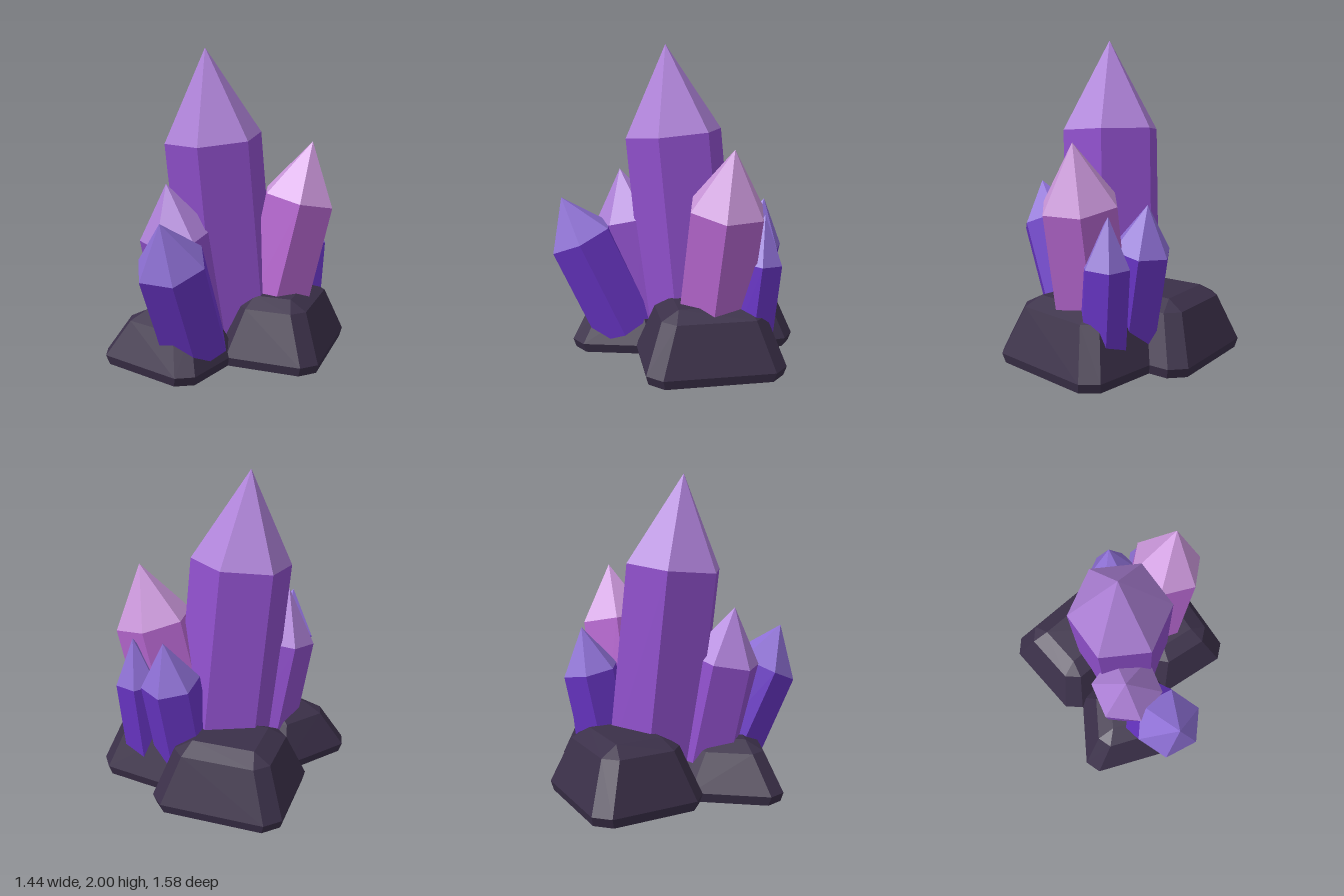
import * as THREE from 'three';
import { ConvexGeometry } from 'three/addons/geometries/ConvexGeometry.js';

const material = (name, color) => {
  const m = new THREE.MeshStandardMaterial({ color });
  m.name = name;
  return m;
};

// Separate the faces so every facet is flat
const faceted = (geometry) => {
  const g = geometry.toNonIndexed();
  g.computeVertexNormals();
  return g;
};

// Hexagonal crystal: centre of its shoulder, lean per unit of height, tip height, radius, spin in degrees
function crystal(name, [x, y, z], [leanX, leanZ], tipY, baseY, radius, spin, bodyMat, tipMat) {
  const axis = new THREE.Vector3(leanX, 1, leanZ);
  const stretch = axis.length();
  axis.normalize();
  const bodyLength = (y - baseY) * stretch;
  const tipLength = (tipY - y) * stretch;
  const start = THREE.MathUtils.degToRad(90 - spin);

  const body = new THREE.Mesh(
    faceted(new THREE.CylinderGeometry(radius, radius, bodyLength, 6, 1, false, start)), bodyMat);
  body.name = name + 'Body';
  body.position.y = -bodyLength / 2;

  const tip = new THREE.Mesh(
    faceted(new THREE.ConeGeometry(radius, tipLength, 6, 1, true, start)), tipMat);
  tip.name = name + 'Tip';
  tip.position.y = tipLength / 2;

  const group = new THREE.Group();
  group.name = name;
  group.add(body, tip);
  group.position.set(x, y, z);
  group.quaternion.setFromUnitVectors(new THREE.Vector3(0, 1, 0), axis);
  return group;
}

// Bevelled rock: four ground corners [x, z] in order around the rock, and its height
function rock(name, corners, height, mat) {
  const points = [];
  const pts = corners.map(([x, z]) => new THREE.Vector2(x, z));
  // level, inset from the outline, corner cut
  const rings = [[0, 0.015, 0.09], [0.06, 0, 0.09], [height - 0.06, 0.11, 0.08], [height, 0.22, 0]];
  for (const [y, inset, cut] of rings) {
    pts.forEach((p, i) => {
      const toNext = pts[(i + 1) % 4].clone().sub(p).normalize();
      const toPrev = pts[(i + 3) % 4].clone().sub(p).normalize();
      const c = p.clone().addScaledVector(toNext, inset).addScaledVector(toPrev, inset);
      const dirs = cut ? [toNext, toPrev] : [toNext];
      for (const d of dirs) points.push(new THREE.Vector3(c.x + d.x * cut, y, c.y + d.y * cut));
    });
  }
  const mesh = new THREE.Mesh(new ConvexGeometry(points), mat);
  mesh.name = name;
  return mesh;
}

export function createModel() {
  const purple = material('purple crystal', 0x9050cc);
  const purpleTip = material('pale purple tip', 0xaf82d9);
  const pink = material('pink crystal', 0xb868d2);
  const pinkTip = material('pale pink tip', 0xca96da);
  const violet = material('violet crystal', 0x6a36c8);
  const violetTip = material('pale violet tip', 0x8d6fd4);
  const stone = material('dark stone', 0x3b3049);

  const model = new THREE.Group();
  model.name = 'crystalCluster';

  // Rock base
  model.add(
    rock('backRock', [[-0.615, -0.745], [0.225, -0.797], [0.26, -0.05], [-0.575, -0.01]], 0.42, stone),
    rock('sideRock', [[0.03, -0.6], [0.738, -0.53], [0.65, 0.338], [-0.02, 0.272]], 0.42, stone),
    rock('frontRock', [[-0.39, -0.15], [0.16, 0.1], [-0.06, 0.7], [-0.765, 0.41]], 0.35, stone),
  );

  // Crystals
  model.add(
    crystal('mainCrystal', [-0.09, 1.43, -0.02], [-0.07, 0.08], 2, 0.1, 0.32, 32.5, purple, purpleTip),
    crystal('smallPurpleCrystal', [-0.26, 0.84, 0.25], [-0.135, 0.15], 1.175, 0.1, 0.235, 45, purple, purpleTip),
    crystal('pinkCrystal', [0.443, 1.03, -0.21], [0.22, -0.04], 1.4, 0.1, 0.25, 19, pink, pinkTip),
    crystal('frontVioletCrystal', [-0.18, 0.75, 0.59], [-0.09, 0.45], 1.02, 0.14, 0.225, 11, violet, violetTip),
    crystal('backVioletCrystal', [0.195, 0.75, -0.485], [0.06, -0.19], 1.03, 0.1, 0.185, 29, violet, violetTip),
    crystal('backSmallVioletCrystal', [0.455, 0.69, -0.42], [0.05, -0.09], 0.985, 0.1, 0.15, 14, violet, violetTip),
  );
  return model;
}
